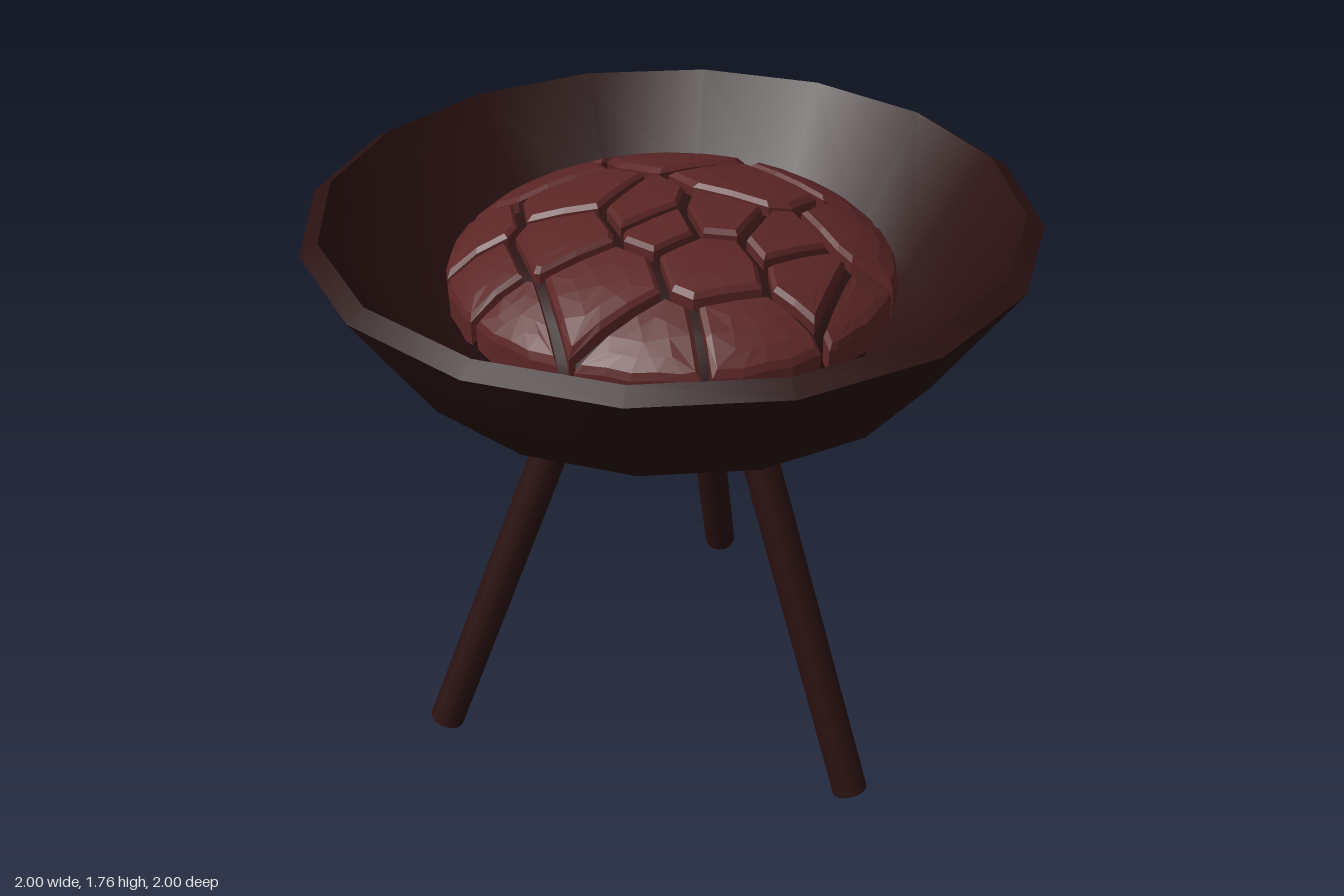
import * as THREE from 'three';

const iron = new THREE.MeshStandardMaterial({ color: 0x2a1111 });
iron.name = 'dark iron';
const ember = new THREE.MeshStandardMaterial({ color: 0x5c2626, flatShading: true });
ember.name = 'dull ember red';

const add = (parent, name, geometry, material) => {
  const mesh = new THREE.Mesh(geometry, material);
  mesh.name = name;
  parent.add(mesh);
  return mesh;
};
const lathe = (points) => new THREE.LatheGeometry(points.map(([x, y]) => new THREE.Vector2(x, y)), 16);

// Height of the ember mound at a distance r from the axis
const moundY = (r) => 1.49 + 0.27 * Math.sqrt(Math.max(0, 1 - (r / 0.65) ** 2));

// Keep the part of a polygon lying on the side of the line where n.p <= d
function clip(poly, nx, nz, d) {
  const out = [];
  poly.forEach(([ax, az], i) => {
    const [bx, bz] = poly[(i + 1) % poly.length];
    const da = ax * nx + az * nz - d;
    const db = bx * nx + bz * nz - d;
    if (da <= 0) out.push([ax, az]);
    if (da * db < 0) {
      const t = da / (da - db);
      out.push([ax + (bx - ax) * t, az + (bz - az) * t]);
    }
  });
  return out;
}

// One stone: the cell around its seed, trimmed by a crack on every side
function stoneOutline(seeds, index) {
  const [sx, sz] = seeds[index];
  let poly = Array.from({ length: 28 }, (_, i) => {
    const a = (i / 28) * Math.PI * 2;
    return [Math.cos(a) * 0.625, Math.sin(a) * 0.625];
  });
  seeds.forEach(([ox, oz], j) => {
    if (j === index) return;
    const len = Math.hypot(ox - sx, oz - sz);
    const nx = (ox - sx) / len, nz = (oz - sz) / len;
    poly = clip(poly, nx, nz, (nx * (sx + ox) + nz * (sz + oz)) / 2 - 0.014);
  });
  // Divide long edges so that the stone follows the mound
  return poly.flatMap(([ax, az], i) => {
    const [bx, bz] = poly[(i + 1) % poly.length];
    const n = Math.ceil(Math.hypot(bx - ax, bz - az) / 0.12);
    return Array.from({ length: n }, (_, k) => [ax + ((bx - ax) * k) / n, az + ((bz - az) * k) / n]);
  });
}

function stoneGeometry(outline) {
  const n = outline.length;
  const cx = outline.reduce((s, p) => s + p[0], 0) / n;
  const cz = outline.reduce((s, p) => s + p[1], 0) / n;
  const positions = [cx, moundY(Math.hypot(cx, cz)), cz];
  // Rings from the crown outward, a bevelled edge, then the side wall
  const rings = [[0.5, 0], [0.9, 0], [1, -0.012], [1, -0.08]];
  rings.forEach(([scale, drop]) => outline.forEach(([px, pz]) => {
    const x = cx + (px - cx) * scale, z = cz + (pz - cz) * scale;
    positions.push(x, moundY(Math.hypot(x, z)) + drop, z);
  }));
  const index = [];
  for (let i = 0; i < n; i++) {
    const k = (i + 1) % n;
    index.push(0, 1 + k, 1 + i);
    for (let r = 0; r < rings.length - 1; r++) {
      const a = 1 + r * n, b = a + n;
      index.push(a + i, a + k, b + k, a + i, b + k, b + i);
    }
  }
  const g = new THREE.BufferGeometry();
  g.setAttribute('position', new THREE.Float32BufferAttribute(positions, 3));
  g.setIndex(index);
  g.computeVertexNormals();
  return g;
}

export function createModel() {
  const model = new THREE.Group();
  model.name = 'fireBowl';

  // Sixteen-sided bowl with a bevelled rim
  const bowl = new THREE.Group();
  bowl.name = 'bowl';
  model.add(bowl);
  add(bowl, 'bowlOutside', lathe([[0, 1.06], [0.42, 1.14], [0.78, 1.38], [1, 1.72]]), iron);
  add(bowl, 'bowlRim', lathe([[1, 1.72], [0.95, 1.75]]), iron);
  add(bowl, 'bowlInside', lathe([[0.95, 1.75], [0.74, 1.43], [0.4, 1.2], [0, 1.12]]), iron);

  // Three splayed legs
  const top = new THREE.Vector3(0.305, 1.16, 0);
  const foot = new THREE.Vector3(0.755, 0.02, 0);
  const along = top.clone().sub(foot);
  for (let i = 0; i < 3; i++) {
    const holder = new THREE.Group();
    holder.name = 'legHolder';
    holder.rotation.y = Math.PI / 3 + (i * Math.PI * 2) / 3;
    const leg = add(holder, 'leg', new THREE.CylinderGeometry(0.054, 0.054, along.length(), 12), iron);
    leg.position.copy(top).add(foot).multiplyScalar(0.5);
    leg.quaternion.setFromUnitVectors(new THREE.Vector3(0, 1, 0), along.clone().normalize());
    model.add(holder);
  }

  // Dark mound seen through the cracks, resting on the bowl floor
  const core = [[0.3, 1.15], [0.52, 1.29], [0.6, 1.45]];
  for (let i = 0; i <= 8; i++) {
    const r = 0.6 * (1 - i / 8);
    core.push([r, moundY(r) - 0.04]);
  }
  add(model, 'emberBed', lathe(core), iron);

  // Cracked stones covering the mound
  const seeds = [
    [0.13, -0.39], [-0.3, -0.4], [-0.54, -0.17], [-0.24, -0.13], [-0.58, 0.07], [-0.3, 0.06],
    [0.24, -0.08], [0.5, -0.22], [0.48, 0.2], [0.08, 0.12], [-0.27, 0.3], [0.02, 0.31],
    [-0.08, 0.04], [-0.05, 0.12], [0.24, 0.26], [0.27, 0.35], [0.03, 0.57], [-0.2, 0.55],
    [0.4, 0.45], [-0.56, 0.3], [-0.02, -0.66],
  ];
  const stones = new THREE.Group();
  stones.name = 'emberStones';
  model.add(stones);
  seeds.forEach((_, i) => {
    const outline = stoneOutline(seeds, i);
    if (outline.length > 2) add(stones, 'emberStone', stoneGeometry(outline), ember);
  });

  return model;
}
